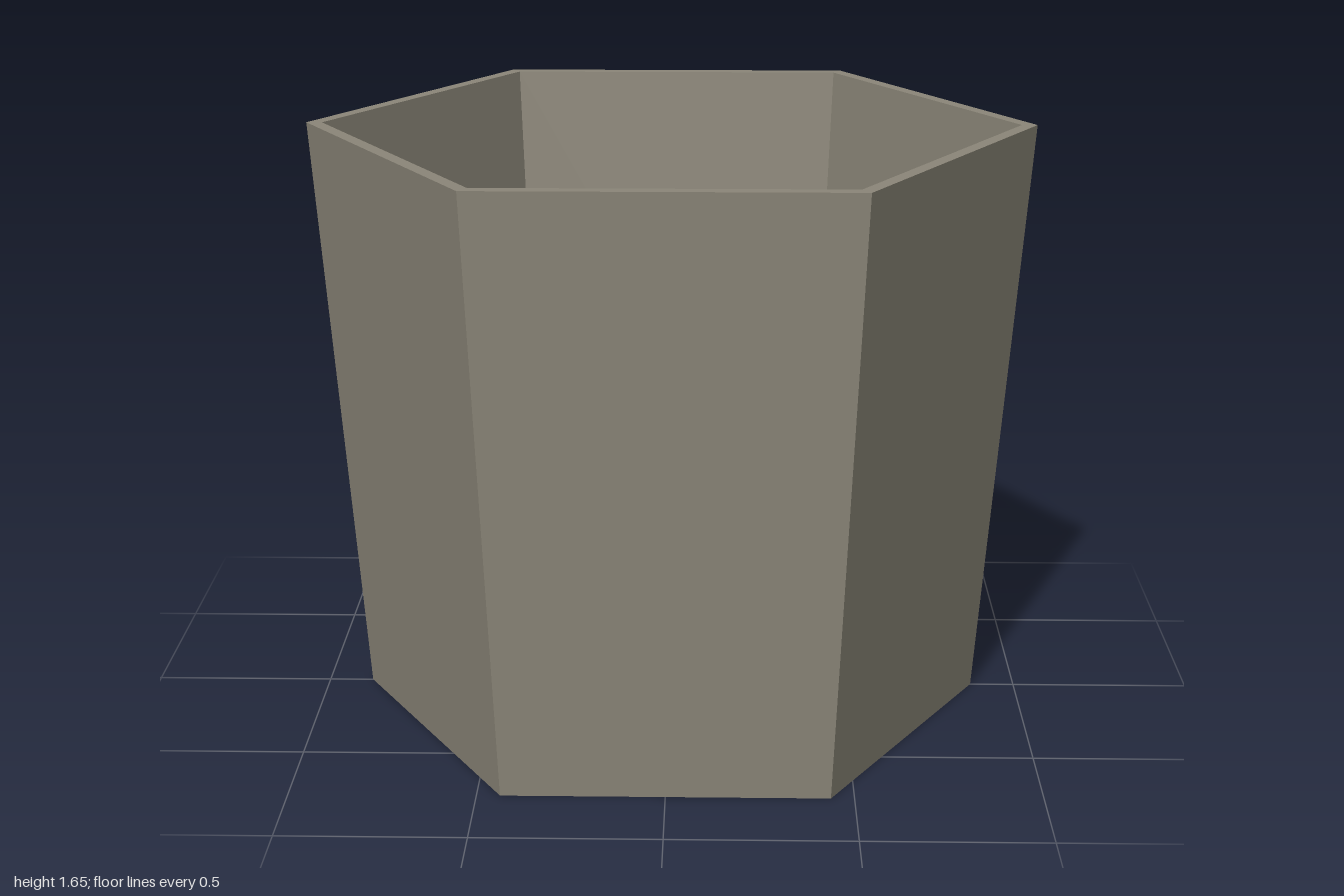
import * as THREE from 'three';

const SIDES = 6, HEIGHT = 1.655, FLOOR = 0.05;
const FLOOR_RADIUS = 0.832, HOLE_RADIUS = 0.095;

export function createModel() {
  const group = new THREE.Group();
  group.name = 'hexagonalPlanter';

  const clay = new THREE.MeshStandardMaterial({ color: 0x8c8779 });
  clay.name = 'warm grey clay';

  // Tapered six-sided wall: base ring, outside, rim and inside in one profile
  const profile = [
    [FLOOR_RADIUS, 0], [0.875, 0], [1, HEIGHT], [0.957, HEIGHT], [FLOOR_RADIUS, FLOOR],
  ].map(([r, y]) => new THREE.Vector2(r, y));
  const wallGeometry = new THREE.LatheGeometry(profile, SIDES, Math.PI / 2).toNonIndexed();
  wallGeometry.computeVertexNormals();
  const wall = new THREE.Mesh(wallGeometry, clay);
  wall.name = 'wall';
  group.add(wall);

  // Floor slab with a round drainage hole
  const outline = new THREE.Shape();
  for (let i = 0; i < SIDES; i++) {
    const a = (i / SIDES) * Math.PI * 2;
    outline[i ? 'lineTo' : 'moveTo'](FLOOR_RADIUS * Math.cos(a), FLOOR_RADIUS * Math.sin(a));
  }
  outline.closePath();
  outline.holes.push(new THREE.Path().absarc(0, 0, HOLE_RADIUS, 0, Math.PI * 2, true));
  const floorGeometry = new THREE.ExtrudeGeometry(outline, {
    depth: FLOOR, bevelEnabled: false, curveSegments: 32,
  });
  floorGeometry.rotateX(-Math.PI / 2);
  const floor = new THREE.Mesh(floorGeometry, clay);
  floor.name = 'floorWithDrainHole';
  group.add(floor);

  return group;
}
